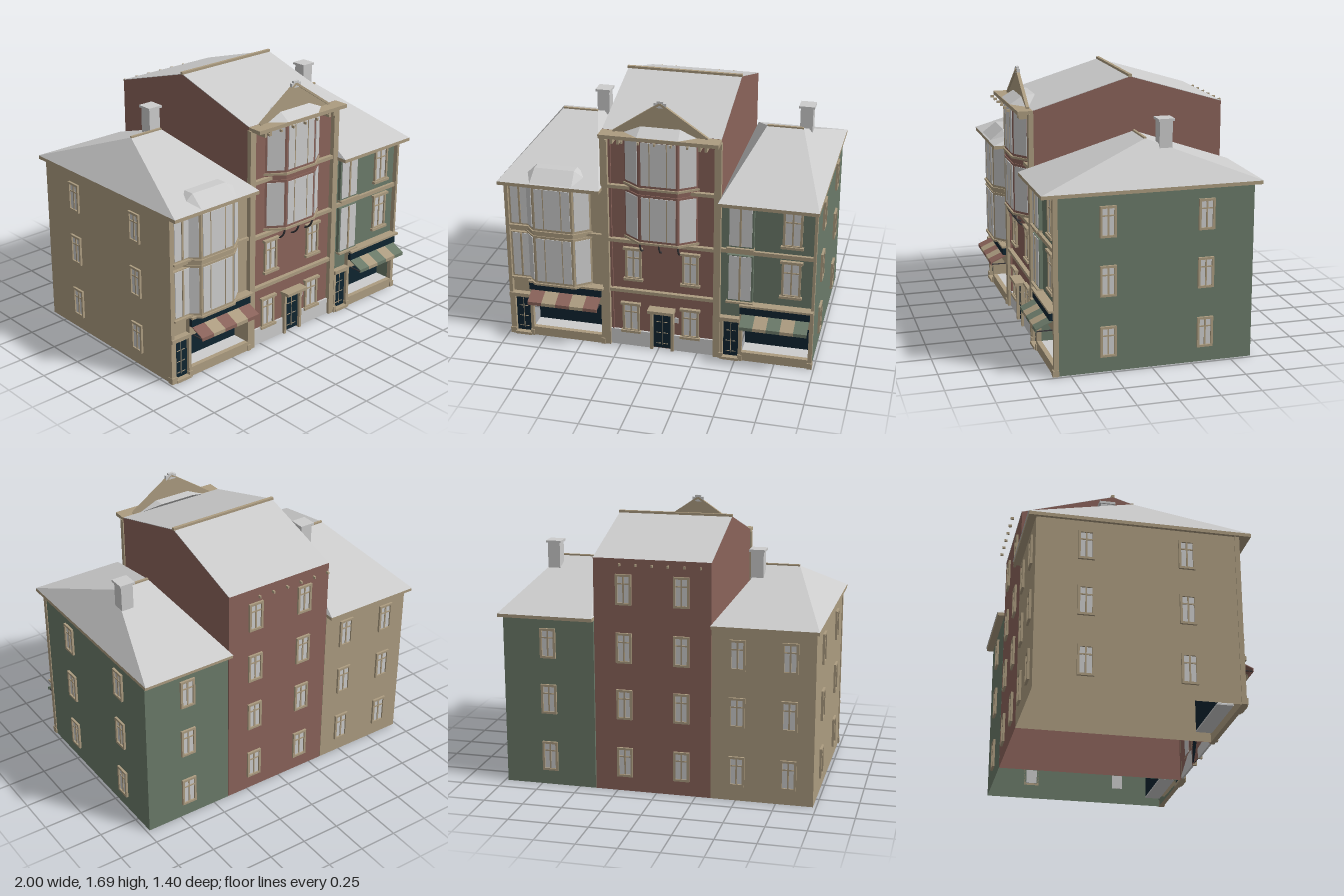
import * as THREE from 'three';
import { ConvexGeometry } from 'three/addons/geometries/ConvexGeometry.js';

const mat = (name, color, side = THREE.FrontSide) => {
  const m = new THREE.MeshStandardMaterial({ color, side });
  m.name = name;
  return m;
};
const tan = mat('tan stone', 0xac9c80, THREE.DoubleSide);
const red = mat('red brick', 0x8a635a, THREE.DoubleSide);
const green = mat('green plaster', 0x6b7a69, THREE.DoubleSide);
const grey = mat('pale grey', 0xcccccc, THREE.DoubleSide);
const navy = mat('dark navy', 0x0f2430);
const iron = mat('iron', 0x39373a);

const WALL = 0.57, BACK = -0.635;

function add(parent, name, geo, material) {
  const m = new THREE.Mesh(geo, material);
  m.name = name;
  parent.add(m);
  return m;
}
// Box given by its limits
function box(parent, name, x0, x1, y0, y1, z0, z1, material) {
  const m = add(parent, name, new THREE.BoxGeometry(x1 - x0, y1 - y0, z1 - z0), material);
  m.position.set((x0 + x1) / 2, (y0 + y1) / 2, (z0 + z1) / 2);
  return m;
}
const hull = (parent, name, pts, material) =>
  add(parent, name, new ConvexGeometry(pts.map(p => new THREE.Vector3(...p))), material);
function group(parent, name) {
  const g = new THREE.Group();
  g.name = name;
  parent.add(g);
  return g;
}
function polygon(pts) {
  return new THREE.Shape(pts.map(p => new THREE.Vector2(...p)));
}

// Open walls: sides and back from a box, front with an optional opening
function shell(parent, x0, x1, h, material, hole) {
  const geo = new THREE.BoxGeometry(x1 - x0, h, WALL - BACK);
  const idx = Array.from(geo.index.array);
  geo.setIndex([...idx.slice(0, 12), ...idx.slice(30, 36)]);
  geo.clearGroups();
  add(parent, 'walls', geo, material).position.set((x0 + x1) / 2, h / 2, (WALL + BACK) / 2);
  const front = polygon([[x0, 0], [x1, 0], [x1, h], [x0, h]]);
  if (hole) {
    const [a, b, c, d] = hole;
    front.holes.push(new THREE.Path([[a, c], [a, d], [b, d], [b, c]].map(p => new THREE.Vector2(...p))));
  }
  add(parent, 'frontWall', new THREE.ShapeGeometry(front), material).position.z = WALL;
}

// Sash window with frame, glazing bars and sill, facing +z before turning
function sash(parent, x, y, z, turn, w = 0.1, h = 0.19, trim = false) {
  const g = group(parent, 'window');
  g.position.set(x, y, z);
  g.rotation.y = turn;
  const f = 0.014;
  box(g, 'pane', -w / 2 + f, w / 2 - f, -h / 2 + f, h / 2 - f, -0.004, 0.004, grey);
  for (const s of [-1, 1]) {
    box(g, 'jamb', s * (w / 2 - f / 2) - f / 2, s * (w / 2 - f / 2) + f / 2, -h / 2, h / 2, 0, 0.014, tan);
    box(g, 'rail', -w / 2, w / 2, s * (h / 2 - f / 2) - f / 2, s * (h / 2 - f / 2) + f / 2, 0, 0.014, tan);
  }
  box(g, 'mullion', -0.005, 0.005, -h / 2, h / 2, 0, 0.009, tan);
  box(g, 'transom', -w / 2, w / 2, h * 0.17, h * 0.17 + 0.008, 0, 0.009, tan);
  if (trim) for (const e of [-h / 2, h / 2])
    box(g, 'sill', -w / 2 - 0.01, w / 2 + 0.01, e - 0.008, e + 0.008, 0, 0.024, tan);
}

// Three-sided bay with a pane on each face of each storey
function bay(parent, xs, storeys, y0, y1, material, roofY, rise) {
  const g = group(parent, 'bayWindow');
  const [a, b, c, d] = xs, zf = 0.645;
  const plan = grow => [[a - grow, WALL], [b - grow / 2, zf + grow], [c + grow / 2, zf + grow], [d + grow, WALL]];
  const prism = (name, lo, hi, grow, m) =>
    hull(g, name, plan(grow).flatMap(([x, z]) => [[x, lo, z], [x, hi, z]]), m);
  prism('bayBody', y0, y1, 0, material);
  const p = plan(0);
  for (const [lo, hi] of storeys) {
    for (let i = 0; i < 3; i++) {
      const [x0, z0] = p[i], [x1, z1] = p[i + 1];
      const len = Math.hypot(x1 - x0, z1 - z0);
      const f = group(g, 'bayFace');
      f.position.set((x0 + x1) / 2, 0, (z0 + z1) / 2);
      f.rotation.y = -Math.atan2(z1 - z0, x1 - x0);
      const w = len / 2 - 0.013;
      box(f, 'bayPane', -w, w, lo, hi, -0.002, 0.004, grey);
      if (i === 1) for (const s of [-1, 1])
        box(f, 'glazingBar', s * w * 0.5 - 0.003, s * w * 0.5 + 0.003, lo, hi, 0, 0.006, tan);
    }
    prism('baySill', lo - 0.03, lo - 0.016, 0.01, tan);
    prism('bayHead', hi + 0.008, hi + 0.018, 0.006, material);
  }
  hull(g, 'bayRoof', [...plan(0.015).map(([x, z]) => [x, roofY, z]),
    [b, roofY + rise, WALL], [c, roofY + rise, WALL], [b, roofY + rise, 0.5], [c, roofY + rise, 0.5]], grey);
}

// Hipped roof with eaves slab, ridge cap and chimney
function hipRoof(parent, x0, x1, r0, r1, chimneyX) {
  box(parent, 'eaves', x0, x1, 1.085, 1.107, -0.68, 0.67, tan);
  const pts = [[r0, 1.36, -0.01], [r1, 1.36, -0.01]];
  for (const x of [x0, x1]) for (const z of [-0.685, 0.67]) pts.push([x, 1.107, z]);
  hull(parent, 'hipRoof', pts, grey);
  box(parent, 'ridgeCap', r0, r1, 1.355, 1.367, -0.018, -0.002, tan);
  box(parent, 'chimney', chimneyX - 0.04, chimneyX + 0.04, 1.15, 1.47, -0.165, -0.085, grey);
  box(parent, 'chimneyCap', chimneyX - 0.05, chimneyX + 0.05, 1.465, 1.48, -0.175, -0.075, grey);
}

// Shop front: door, recessed display, sign board and striped awning
function shop(parent, x0, x1, doorX, w0, w1, stripe) {
  const g = group(parent, 'shopFront');
  const F = 0.6;
  for (const [a, b] of [[x0, doorX - 0.05], [doorX + 0.05, w0], [w1, x1]]) {
    box(g, 'shopPost', a, b, 0, 0.3, WALL, F, tan);
    box(g, 'postBase', a - 0.003, b + 0.003, 0, 0.04, WALL, F + 0.008, tan);
  }
  box(g, 'shopBase', w0, w1, 0, 0.06, WALL, F, tan);
  box(g, 'shopLintel', w0 - 0.015, x1, 0.28, 0.41, WALL, F, tan);
  box(g, 'doorLintel', x0, w0 - 0.015, 0.275, 0.3, WALL, F + 0.01, tan);
  box(g, 'step', doorX - 0.055, doorX + 0.055, 0, 0.018, WALL, F + 0.015, tan);
  door(g, doorX, 0.018, 0.275, 0.095);
  box(g, 'displayBack', w0, w1, 0.06, 0.28, 0.47, 0.475, navy);
  box(g, 'displayFloor', w0, w1, 0.05, 0.06, 0.47, WALL, grey);
  box(g, 'signBoard', w0 - 0.012, w1 + 0.004, 0.345, 0.4, F, F + 0.02, navy);
  box(g, 'signCornice', w0 - 0.015, x1, 0.398, 0.412, WALL, F + 0.03, tan);
  const n = 5, sw = (w1 - w0) / n;
  for (let i = 0; i < n; i++) {
    const a = w0 + i * sw, m = i % 2 ? tan : stripe;
    hull(g, 'awningStripe', [a, a + sw].flatMap(x => [[x, 0.342, 0.605], [x, 0.335, 0.605], [x, 0.3, 0.7], [x, 0.293, 0.7]]), m);
    box(g, 'awningValance', a, a + sw, 0.278, 0.3, 0.697, 0.702, m);
  }
  for (const x of [w0 + 0.01, w1 - 0.01]) box(g, 'awningArm', x - 0.003, x + 0.003, 0.28, 0.286, F, 0.7, iron);
}

function door(parent, x, y0, y1, w) {
  const g = group(parent, 'door');
  box(g, 'doorLeaf', x - w / 2, x + w / 2, y0, y1, WALL, 0.582, navy);
  for (let r = 0; r < 3; r++) {
    const y = y0 + 0.03 + r * (y1 - y0) * 0.29;
    for (const s of [-1, 1])
      box(g, 'doorBead', x + s * w * 0.2 - w * 0.13, x + s * w * 0.2 + w * 0.13, y, y + 0.004, 0.58, 0.585, tan);
  }
  box(g, 'doorBar', x - 0.002, x + 0.002, y0 + 0.02, y1 - 0.02, 0.58, 0.585, tan);
}

// Flat double window beside the bay or corner
function flatWindow(parent, x0, x1, material) {
  for (const [lo, hi] of [[0.43, 0.73], [0.8, 1.08]]) {
    box(parent, 'windowSurround', x0 - 0.012, x1 + 0.012, lo - 0.015, hi + 0.005, WALL, 0.592, material);
    box(parent, 'flatPane', x0, x1, lo, hi, 0.59, 0.596, grey);
    box(parent, 'windowBar', (x0 + x1) / 2 - 0.006, (x0 + x1) / 2 + 0.006, lo, hi, 0.59, 0.602, tan);
    box(parent, 'windowSill', x0 - 0.015, x1 + 0.015, lo - 0.022, lo - 0.01, WALL, 0.61, tan);
  }
}

const ROWS = [0.19, 0.565, 0.925, 1.29];
function plainWindows(parent, backXs, rows, sideX) {
  for (const y of ROWS.slice(0, rows)) {
    for (const x of backXs) sash(parent, x, y, BACK, Math.PI);
    if (sideX) for (const z of [0.27, -0.335]) sash(parent, sideX, y, z, Math.sign(sideX) * Math.PI / 2);
  }
}

export function createModel() {
  const model = new THREE.Group();
  model.name = 'townhouseRow';

  // Tan corner house
  const left = group(model, 'tanHouse');
  shell(left, -0.98, -0.345, 1.09, tan, [-0.83, -0.37, 0.06, 0.28]);
  hipRoof(left, -1, -0.347, -0.775, -0.545, -0.53);
  shop(left, -0.985, -0.35, -0.9, -0.83, -0.37, red);
  flatWindow(left, -0.945, -0.83, tan);
  bay(left, [-0.86, -0.785, -0.53, -0.43], [[0.43, 0.73], [0.8, 1.07]], 0.41, 1.1, tan, 1.11, 0.07);
  box(left, 'stringCourse', -0.985, -0.35, 0.755, 0.775, WALL, 0.59, tan);
  box(left, 'cornerPilaster', -0.985, -0.962, 0.3, 1.09, WALL, 0.6, tan);
  plainWindows(left, [-0.505, -0.825], 3, -0.98);

  // Green corner house
  const right = group(model, 'greenHouse');
  shell(right, 0.395, 0.98, 1.09, green, [0.54, 0.96, 0.06, 0.28]);
  hipRoof(right, 0.392, 1, 0.565, 0.795, 0.8);
  shop(right, 0.4, 0.985, 0.468, 0.54, 0.96, green);
  flatWindow(right, 0.45, 0.59, green);
  for (const y of [0.6, 0.94]) sash(right, 0.835, y, WALL, 0, 0.12, 0.24, true);
  box(right, 'stringCourse', 0.4, 0.985, 0.745, 0.77, WALL, 0.59, tan);
  box(right, 'cornerPilaster', 0.968, 0.985, 0.3, 1.09, WALL, 0.6, tan);
  plainWindows(right, [0.69], 3, 0.98);

  // Red middle house
  const mid = group(model, 'redHouse');
  shell(mid, -0.343, 0.39, 1.48, red);
  hull(mid, 'gableRoof', [-0.343, 0.39].flatMap(x => [[x, 1.48, 0.572], [x, 1.48, -0.638], [x, 1.662, -0.04]]), grey);
  for (const x of [-0.344, 0.391]) {
    const g = add(mid, 'gableWall', new THREE.ShapeGeometry(polygon([[-0.568, 1.478], [0.635, 1.478], [0.04, 1.659]])), red);
    g.rotation.y = Math.PI / 2;
    g.position.x = x;
  }
  box(mid, 'ridgeCap', -0.347, 0.394, 1.657, 1.674, -0.05, -0.03, tan);
  plainWindows(mid, [0.2, -0.16], 4);
  for (const [a, b] of [[-0.355, -0.312], [0.355, 0.397]]) box(mid, 'pilaster', a, b, 0, 1.46, WALL, 0.6, tan);
  for (const y of [0.39, 0.74, 1.105]) box(mid, 'stringCourse', -0.345, 0.392, y, y + 0.022, WALL, 0.597, tan);
  box(mid, 'cornice', -0.345, 0.392, 1.455, 1.478, WALL, 0.665, tan);
  for (let i = 0; i < 6; i++) for (const z of [-0.69, 0.685])
    box(mid, 'gutterBracket', -0.296 + i * 0.1, -0.286 + i * 0.1, 1.445, 1.46, z - 0.01, z + 0.01, tan);
  for (const x of [-0.27, -0.23, 0.27, 0.31]) box(mid, 'corniceBracket', x - 0.008, x + 0.008, 1.415, 1.456, WALL, 0.64, tan);
  bay(mid, [-0.21, -0.1, 0.14, 0.25], [[0.8, 1.085], [1.165, 1.445]], 0.775, 1.458, red, 1.478, 0.055);

  // Pediment with raking mouldings and finial
  const ped = polygon([[-0.27, 1.478], [0.31, 1.478], [0.02, 1.675]]);
  add(mid, 'pediment', new THREE.ExtrudeGeometry(ped, { depth: 0.008, bevelEnabled: false }), tan).position.z = 0.578;
  for (const s of [-1, 1]) {
    const m = add(mid, 'rakingMoulding', new THREE.BoxGeometry(0.35, 0.014, 0.02), tan);
    m.position.set(0.02 + s * 0.145, 1.577, 0.585);
    m.rotation.z = -s * Math.atan2(0.197, 0.29);
  }
  box(mid, 'finialBase', -0.018, 0.058, 1.65, 1.68, 0.575, 0.593, grey);
  box(mid, 'finialTop', 0, 0.04, 1.68, 1.692, 0.575, 0.593, grey);

  // Ground floor: plinth, door, sash windows, pipe and plate
  for (const [a, b] of [[-0.312, -0.045], [0.095, 0.355]]) box(mid, 'plinth', a, b, 0, 0.11, WALL, 0.583, grey);
  door(mid, 0.025, 0.01, 0.28, 0.115);
  for (const x of [-0.042, 0.092]) box(mid, 'doorJamb', x - 0.009, x + 0.009, 0, 0.285, WALL, 0.6, tan);
  box(mid, 'doorHood', -0.06, 0.11, 0.28, 0.3, WALL, 0.64, tan);
  for (const x of [-0.18, 0.205]) sash(mid, x, 0.205, WALL, 0, 0.11, 0.2, true);
  for (const x of [-0.16, 0.205]) sash(mid, x, 0.59, WALL, 0, 0.105, 0.215, true);
  box(mid, 'numberPlate', 0.105, 0.128, 0.2, 0.235, WALL, 0.578, grey);
  box(mid, 'downpipe', -0.302, -0.294, 0.07, 1.45, WALL, 0.582, red);
  // Curved iron braces below the bay
  for (const x of [-0.1, 0.02, 0.14]) {
    const curve = new THREE.QuadraticBezierCurve3(new THREE.Vector3(x, 0.69, 0.575),
      new THREE.Vector3(x, 0.71, 0.635), new THREE.Vector3(x, 0.778, 0.64));
    add(mid, 'bayBrace', new THREE.TubeGeometry(curve, 8, 0.006, 6), iron);
  }
  return model;
}
